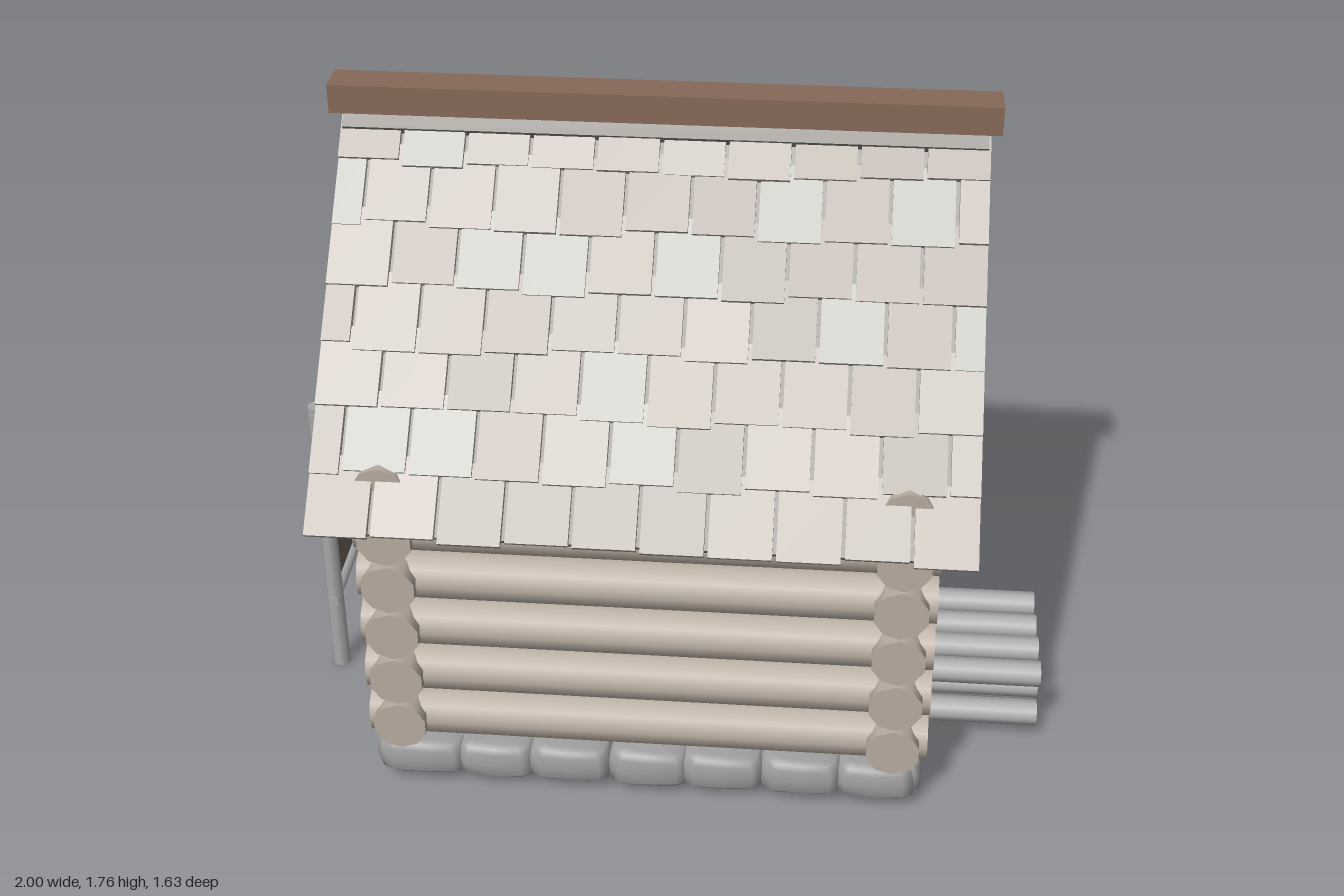
import * as THREE from 'three';

const mat = (color, extra = {}) => new THREE.MeshStandardMaterial({ color, ...extra });
const LOG = mat(0xb8aca0), BROWN = mat(0x86695a), PLANK = mat(0x755a49), GREY = mat(0xcccccc);
const STONE = mat(0xa0a0a0), IRON = mat(0x6c7276), GLASS = mat(0xa8935a), BARREL = mat(0x9c8069);
const HIDE = mat(0x6e665e), WOOD = mat(0xa9a9a9), DECK = mat(0x8d8882), FLOOR = mat(0x808080);
const SHINGLES = [0xb8b0a8, 0xaea69e, 0xb9bab2, 0xb3aaa2, 0xbdb5ae].map(c => mat(c));

let seed = 7;
const rnd = () => (seed = (seed * 16807) % 2147483647) / 2147483647;
const jitter = a => (rnd() - 0.5) * 2 * a;

const CX = -0.043, CZ = 0.067; // middle of the cabin

function add(parent, name, geo, material, x = 0, y = 0, z = 0) {
  const m = new THREE.Mesh(geo, material);
  m.name = name;
  m.position.set(x, y, z);
  parent.add(m);
  return m;
}

// Box given by its limits on each axis
function box(parent, name, material, x0, x1, y0, y1, z0, z1) {
  return add(parent, name, new THREE.BoxGeometry(x1 - x0, y1 - y0, z1 - z0), material,
    (x0 + x1) / 2, (y0 + y1) / 2, (z0 + z1) / 2);
}

// Round pole between two points
function pole(parent, name, material, a, b, r, r2 = r, sides = 10) {
  const p = new THREE.Vector3(...a), q = new THREE.Vector3(...b), d = q.clone().sub(p);
  const m = add(parent, name, new THREE.CylinderGeometry(r2, r, d.length(), sides), material);
  m.position.copy(p).add(q).multiplyScalar(0.5);
  m.quaternion.setFromUnitVectors(new THREE.Vector3(0, 1, 0), d.normalize());
  return m;
}

// Lumpy stone: a sphere pushed towards a box, with slight bumps
function stone(parent, name, x, y, z, w, h, d) {
  const geo = new THREE.SphereGeometry(1, 12, 8), p = geo.attributes.position;
  const phase = rnd() * 6;
  const square = v => Math.sign(v) * Math.pow(Math.abs(v), 0.5);
  for (let i = 0; i < p.count; i++) {
    const a = p.getX(i), b = p.getY(i), c = p.getZ(i);
    const k = 0.97 + 0.05 * Math.sin(3 * a + phase) * Math.cos(4 * c + 2 * b + phase);
    p.setXYZ(i, square(a) * k * w / 2, square(b) * k * h / 2, square(c) * k * d / 2);
  }
  geo.computeVertexNormals();
  return add(parent, name, geo, STONE, x, y, z);
}

function group(parent, name) {
  const g = new THREE.Group();
  g.name = name;
  parent.add(g);
  return g;
}

function buildWalls(root) {
  const walls = group(root, 'logWalls');
  for (let i = 0; i < 6; i++) {
    const y = 0.21 + i * 0.148;
    for (const z of [0.62, -0.485]) pole(walls, 'longLog', LOG, [-0.775, y, z], [0.69, y, z], 0.071);
    for (const x of [-0.69, 0.6]) pole(walls, 'sideLog', LOG, [x, y, -0.578], [x, y, 0.712], 0.071);
  }
}

function buildFoundation(root) {
  const base = group(root, 'foundation');
  box(base, 'floor', FLOOR, -0.73, 0.645, 0.045, 0.12, -0.53, 0.665);
  // Stones along each of the four walls
  for (const s of [-1, 1]) {
    for (let i = 0; i < 7; i++) {
      stone(base, 'foundationStone', CX + (i - 3) * 0.2 + jitter(0.01), 0.087, CZ + s * 0.565,
        0.23 + jitter(0.02), 0.115 + jitter(0.008), 0.16);
    }
    for (let i = 0; i < 6; i++) {
      stone(base, 'foundationStone', CX + s * 0.65, 0.087, CZ + (i - 2.5) * 0.205 + jitter(0.01),
        0.16, 0.115 + jitter(0.008), 0.23 + jitter(0.02));
    }
  }
  stone(base, 'doorStep', 0.11, 0.073, -0.705, 0.52, 0.095, 0.23);
}

function buildRoof(root) {
  const roof = group(root, 'roof');
  const rows = 7, cols = 10, pitch = 1.1 / rows, width = 1.64 / cols;
  for (const turn of [0, Math.PI]) {
    const side = group(roof, 'roofSide');
    side.position.set(-0.045, 1.70, CZ);
    side.rotation.y = turn;
    const slope = group(side, 'roofSlope');
    slope.rotation.x = 0.83;
    box(slope, 'roofDeck', DECK, -0.81, 0.81, -0.068, -0.025, 0, 1.09);
    // Overlapping shingles, every other row shifted by half a shingle
    for (let r = 0; r < rows; r++) {
      const odd = r % 2, end = (r + 1) * pitch;
      for (let c = 0; c < cols + odd; c++) {
        const x0 = Math.max(-0.82, -0.82 + (c - odd / 2) * width);
        const x1 = Math.min(0.82, -0.82 + (c + 1 - odd / 2) * width);
        const len = pitch + 0.045, low = end + jitter(0.012);
        const m = box(slope, 'shingle', SHINGLES[Math.floor(rnd() * SHINGLES.length)],
          x0 + 0.005, x1 - 0.005, -0.022, -0.004 + jitter(0.003), Math.max(0, low - len), low);
        m.rotation.x = -0.06;
      }
    }
  }
  box(roof, 'ridgeBeam', BROWN, -0.885, 0.795, 1.69, 1.765, 0.017, 0.117);
}

function buildGables(root) {
  for (const s of [-1, 1]) {
    const g = group(root, 'gable');
    g.position.set(CX + s * 0.7, 0, CZ);
    box(g, 'tieBeam', BROWN, -0.04, 0.04, 0.93, 1.01, -0.548, 0.548);
    box(g, 'kingPost', BROWN, -0.03, 0.03, 1.0, 1.58, -0.03, 0.03);
    for (const k of [-1, 1]) {
      const rafter = add(g, 'rafter', new THREE.BoxGeometry(0.065, 0.06, 0.8), BROWN, 0, 1.285, k * 0.275);
      rafter.rotation.x = k * 0.82;
      for (const [z, top] of [[0.157, 1.4], [0.313, 1.24]])
        box(g, 'gableStud', GREY, -0.02, 0.02, 1.0, top, k * z - 0.024, k * z + 0.024);
    }
  }
}

function buildDoor(root) {
  const door = group(root, 'door');
  door.position.x = 0.115;
  for (const s of [-1, 1]) box(door, 'doorPost', BROWN, s * 0.215 - 0.035, s * 0.215 + 0.035, 0.14, 0.86, -0.61, -0.5);
  box(door, 'doorLintel', BROWN, -0.27, 0.27, 0.8, 0.87, -0.612, -0.5);
  for (let i = 0; i < 5; i++) {
    const x = (i - 2) * 0.073;
    box(door, 'doorPlank', PLANK, x - 0.034, x + 0.034, 0.15, 0.8, -0.59 - (i % 2) * 0.004, -0.52);
  }
  for (const y of [0.3, 0.67]) box(door, 'doorStrap', IRON, -0.165, 0.175, y - 0.022, y + 0.022, -0.604, -0.58);
  add(door, 'doorKnob', new THREE.SphereGeometry(0.018, 10, 8), IRON, 0.135, 0.48, -0.61);
}

function buildWindow(root) {
  const win = group(root, 'window');
  win.position.x = -0.33;
  box(win, 'windowPane', GLASS, -0.11, 0.11, 0.52, 0.73, -0.57, -0.54);
  for (const s of [-1, 1]) {
    box(win, 'windowPost', BROWN, s * 0.12 - 0.025, s * 0.12 + 0.025, 0.5, 0.74, -0.6, -0.5);
    box(win, 'shutter', PLANK, s * 0.175 - 0.035, s * 0.175 + 0.035, 0.51, 0.73, -0.615, -0.55);
  }
  box(win, 'windowHead', BROWN, -0.215, 0.215, 0.72, 0.79, -0.605, -0.5);
  box(win, 'windowSill', BROWN, -0.2, 0.2, 0.48, 0.52, -0.655, -0.5);
  box(win, 'windowBar', BROWN, -0.012, 0.012, 0.52, 0.73, -0.59, -0.55);
  box(win, 'windowBar', BROWN, -0.11, 0.11, 0.613, 0.637, -0.59, -0.55);
}

// Branched antlers above the door
function buildAntlers(root) {
  const antlers = group(root, 'antlers');
  for (const s of [-1, 1]) {
    const at = (x, y) => [0.12 + s * x, y, -0.605];
    pole(antlers, 'antlerBeam', GREY, at(0.02, 0.86), at(0.12, 0.98), 0.014, 0.012, 7);
    pole(antlers, 'antlerBeam', GREY, at(0.12, 0.98), at(0.22, 1.15), 0.012, 0.005, 7);
    pole(antlers, 'antlerTine', GREY, at(0.09, 0.945), at(0.1, 1.1), 0.01, 0.004, 7);
    pole(antlers, 'antlerTine', GREY, at(0.15, 1.03), at(0.15, 1.14), 0.009, 0.004, 7);
  }
}

function buildBarrel(root) {
  const barrel = group(root, 'barrel');
  barrel.position.set(0.757, 0.04, -0.41);
  const profile = [[0, 0], [0.08, 0], [0.093, 0.06], [0.098, 0.122], [0.093, 0.185], [0.08, 0.245], [0.07, 0.245], [0.07, 0.235], [0, 0.235]];
  add(barrel, 'barrelBody', new THREE.LatheGeometry(profile.map(p => new THREE.Vector2(...p)), 16), BARREL);
  for (const y of [0.05, 0.195]) add(barrel, 'barrelHoop', new THREE.CylinderGeometry(0.097, 0.097, 0.024, 16), IRON, 0, y, 0);
}

function buildFirewood(root) {
  const pile = group(root, 'firewood');
  for (const [y, zs] of [[0.075, [0.355, 0.25, 0.15, 0.045]], [0.14, [0.315, 0.212, 0.108]], [0.21, [0.355, 0.25, 0.15, 0.045]]])
    for (const z of zs) pole(pile, 'firewoodLog', WOOD, [0.69, y, z], [1.0, y, z], 0.036, 0.036, 9);
}

// Drying frame with a stretched hide
function buildRack(root) {
  const rack = group(root, 'dryingRack'), x = -0.976;
  for (const z of [0.2, -0.322]) pole(rack, 'rackPost', WOOD, [x, 0, z], [x, 0.87, z], 0.024, 0.022, 8);
  for (const y of [0.84, 0.23]) pole(rack, 'rackRail', WOOD, [x, y, -0.355], [x, y, 0.226], 0.016, 0.016, 8);
  box(rack, 'hide', HIDE, x - 0.005, x + 0.005, 0.27, 0.8, -0.28, 0.158);
  for (const z of [-0.28, 0.158]) for (const y of [0.27, 0.8]) {
    const out = [x, y > 0.5 ? 0.84 : 0.23, z < 0 ? -0.322 : 0.2];
    pole(rack, 'hideTie', WOOD, [x, y, z], out, 0.005, 0.005, 6);
  }
}

export function createModel() {
  const root = new THREE.Group();
  root.name = 'logCabin';
  for (const build of [buildFoundation, buildWalls, buildRoof, buildGables, buildDoor, buildWindow,
    buildAntlers, buildBarrel, buildFirewood, buildRack]) build(root);
  return root;
}
